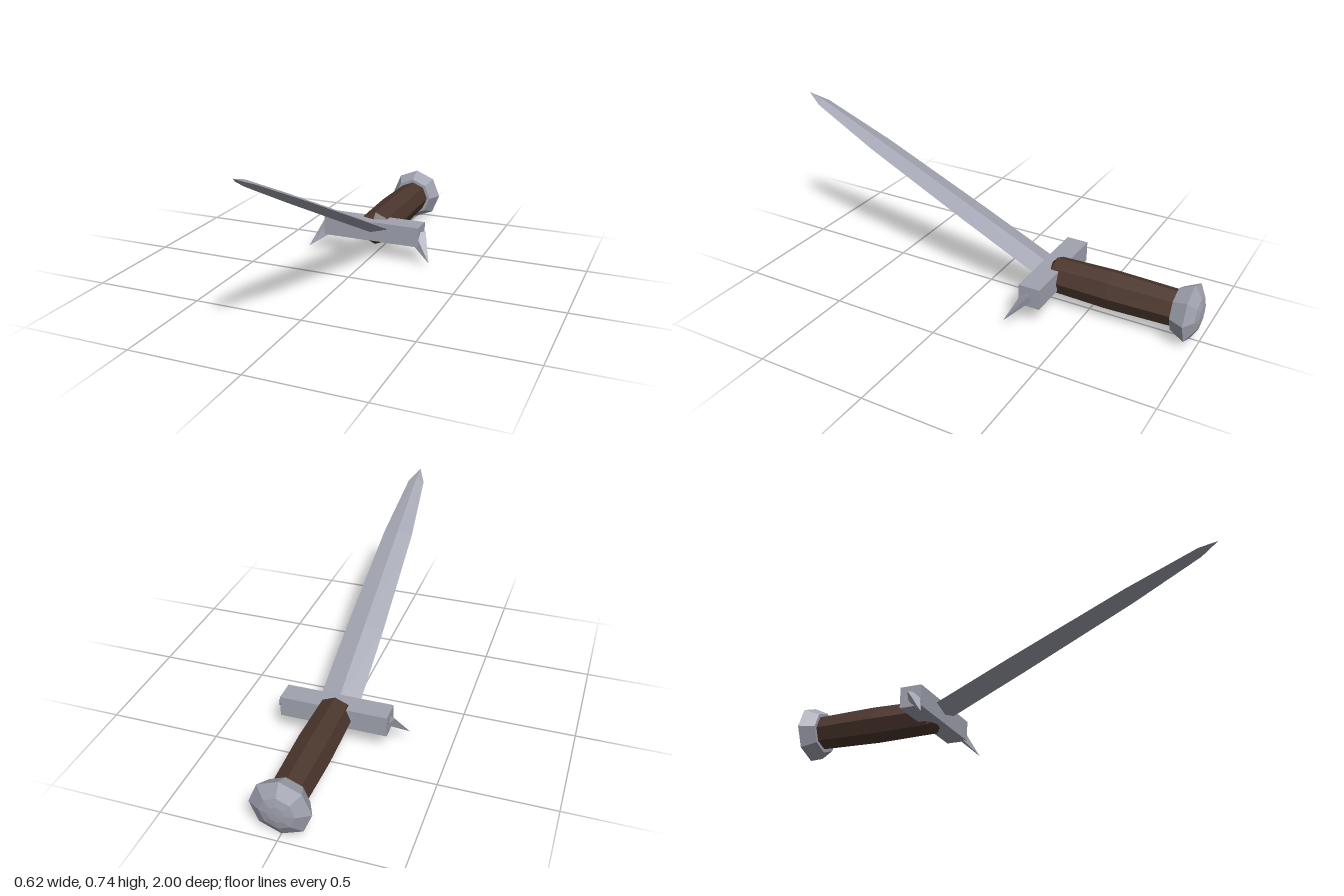
import * as THREE from 'three';
import { ConvexGeometry } from 'three/addons/geometries/ConvexGeometry.js';

const steel = new THREE.MeshStandardMaterial({ color: 0xa0a2af });
steel.name = 'steel';
const leather = new THREE.MeshStandardMaterial({ color: 0x4b362d });
leather.name = 'brown leather';

const AXIS_Y = 0.13; // height of the handle's centre line

// Give every face its own flat normal.
function faceted(geometry) {
  const flat = geometry.index ? geometry.toNonIndexed() : geometry;
  flat.computeVertexNormals();
  return flat;
}

function addPart(group, name, geometry, material) {
  const mesh = new THREE.Mesh(geometry, material);
  mesh.name = name;
  group.add(mesh);
  return mesh;
}

// Eight-sided turned shape along z; profile is [radius, z] from back to front.
function turned(profile) {
  const points = profile.map(([r, z]) => new THREE.Vector2(r, z));
  const geometry = new THREE.LatheGeometry(points, 8);
  geometry.rotateX(Math.PI / 2);
  geometry.translate(0, AXIS_Y, 0);
  return faceted(geometry);
}

// Diamond-section blade; sections are [z, half width, half thickness].
function bladeGeometry(sections) {
  const edgeY = (z) => 0.157 + (z + 0.27) * 0.461;
  const positions = [];
  const index = [];
  for (const [z, w, t] of sections) {
    const y = edgeY(z);
    positions.push(w, y, z, 0, y + t, z, -w, y, z, 0, y - t, z);
  }
  for (let s = 0; s < sections.length - 1; s++) {
    for (let k = 0; k < 4; k++) {
      const a = s * 4 + k;
      const b = s * 4 + ((k + 1) % 4);
      index.push(a, b, b + 4, a, b + 4, a + 4);
    }
  }
  index.push(0, 2, 1, 0, 3, 2); // butt end
  const geometry = new THREE.BufferGeometry();
  geometry.setAttribute('position', new THREE.Float32BufferAttribute(positions, 3));
  geometry.setIndex(index);
  return faceted(geometry);
}

export function createModel() {
  const dagger = new THREE.Group();
  dagger.name = 'dagger';

  // Blade, rising away from the guard
  addPart(dagger, 'blade', bladeGeometry([
    [-0.3, 0.09, 0.026],
    [0.08, 0.086, 0.024],
    [0.6, 0.07, 0.02],
    [0.92, 0.039, 0.014],
    [1.0, 0.001, 0.001],
  ]), steel);

  // Crossguard bar
  const guard = addPart(dagger, 'crossguard', new THREE.BoxGeometry(0.484, 0.095, 0.1), steel);
  guard.position.set(0, 0.1355, -0.32);

  // Hooked spikes at both ends of the bar
  for (const side of [1, -1]) {
    const corners = [
      [0.309, 0.03, -0.234], // tip
      [0.262, 0.153, -0.325],
      [0.22, 0.153, -0.288],
      [0.2, 0.1, -0.29],
      [0.235, 0.12, -0.335],
    ].map(([x, y, z]) => new THREE.Vector3(x * side, y, z));
    addPart(dagger, side > 0 ? 'leftGuardSpike' : 'rightGuardSpike', new ConvexGeometry(corners), steel);
  }

  // Slightly swollen grip
  addPart(dagger, 'grip', turned([
    [0, -0.9], [0.081, -0.895], [0.088, -0.6], [0.082, -0.335], [0.045, -0.305], [0, -0.3],
  ]), leather);

  // Faceted pommel
  addPart(dagger, 'pommel', turned([
    [0, -1], [0.038, -0.998], [0.075, -0.99], [0.13, -0.957], [0.097, -0.89], [0, -0.888],
  ]), steel);

  return dagger;
}
